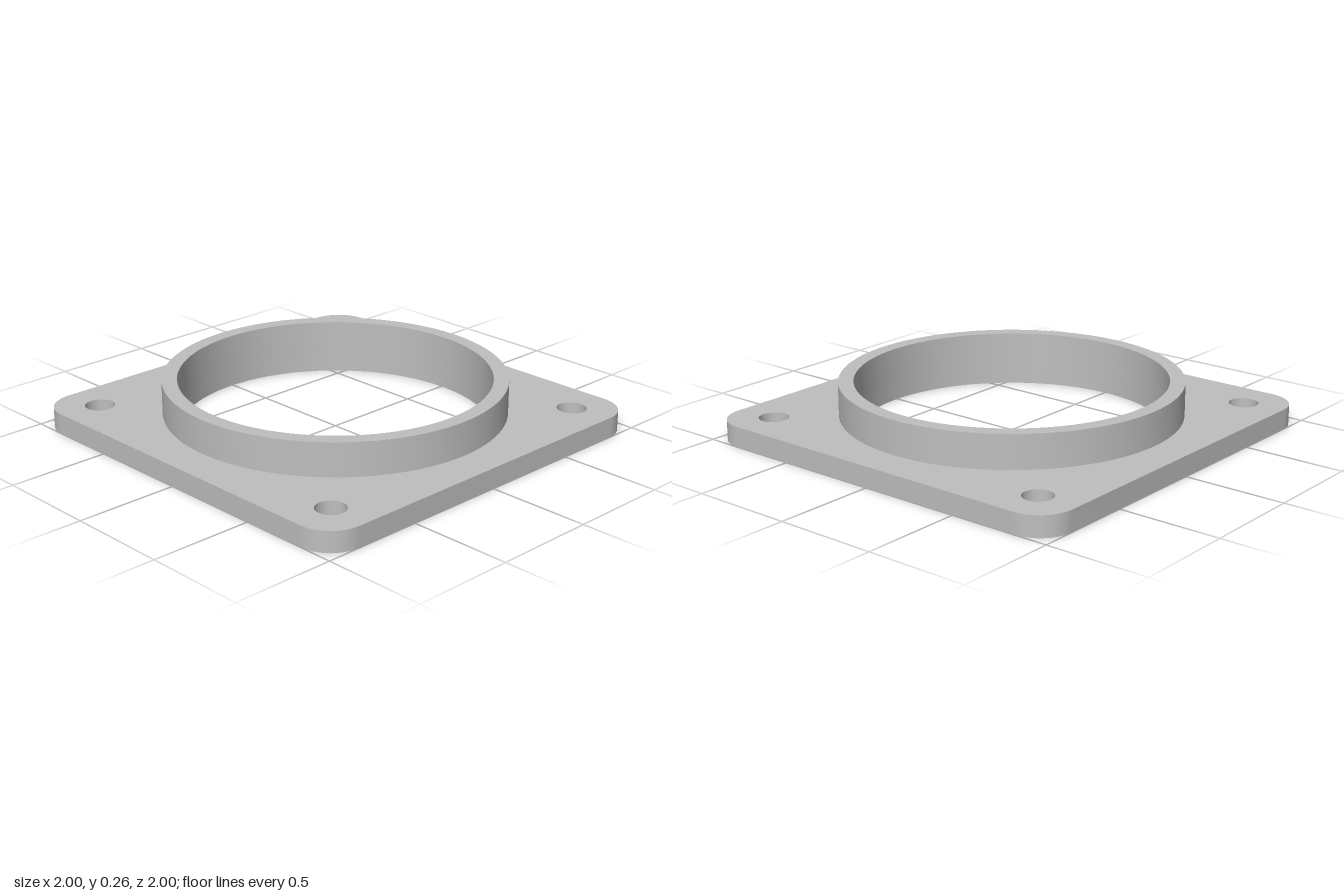
import * as THREE from 'three';
import { toCreasedNormals } from 'three/addons/utils/BufferGeometryUtils.js';

const PLATE = 0.1, TOP = 0.265;   // plate and collar top heights
const BORE = 0.747, COLLAR = 0.82; // inner and outer radii
const SEGMENTS = 96;

function circle(x, y, r) {
  return new THREE.Path().absarc(x, y, r, 0, Math.PI * 2, true);
}

function roundedSquare(half, r) {
  const s = new THREE.Shape(), c = half - r, q = Math.PI / 2;
  [[c, c], [-c, c], [-c, -c], [c, -c]].forEach(([x, y], i) =>
    s.absarc(x, y, r, i * q, (i + 1) * q, false));
  s.closePath();
  return s;
}

export function createModel() {
  const group = new THREE.Group();
  group.name = 'flange';
  const grey = new THREE.MeshStandardMaterial({ color: 0xbfbfbf });
  grey.name = 'light grey';

  const add = (name, geometry) => {
    const mesh = new THREE.Mesh(toCreasedNormals(geometry, 0.5), grey);
    mesh.name = name;
    group.add(mesh);
  };

  // Square plate with the central bore and four bolt holes
  const outline = roundedSquare(1, 0.17);
  outline.holes.push(circle(0, 0, BORE));
  for (const x of [-0.795, 0.795])
    for (const y of [-0.795, 0.795]) outline.holes.push(circle(x, y, 0.071));
  const plate = new THREE.ExtrudeGeometry(outline, {
    depth: PLATE, bevelEnabled: false, curveSegments: SEGMENTS,
  });
  plate.rotateX(-Math.PI / 2);
  add('basePlate', plate);

  // Raised collar: outer wall, rim and inner wall
  const profile = [[COLLAR, PLATE], [COLLAR, TOP], [BORE, TOP], [BORE, PLATE]];
  add('collar', new THREE.LatheGeometry(
    profile.map(([r, y]) => new THREE.Vector2(r, y)), SEGMENTS));

  return group;
}
